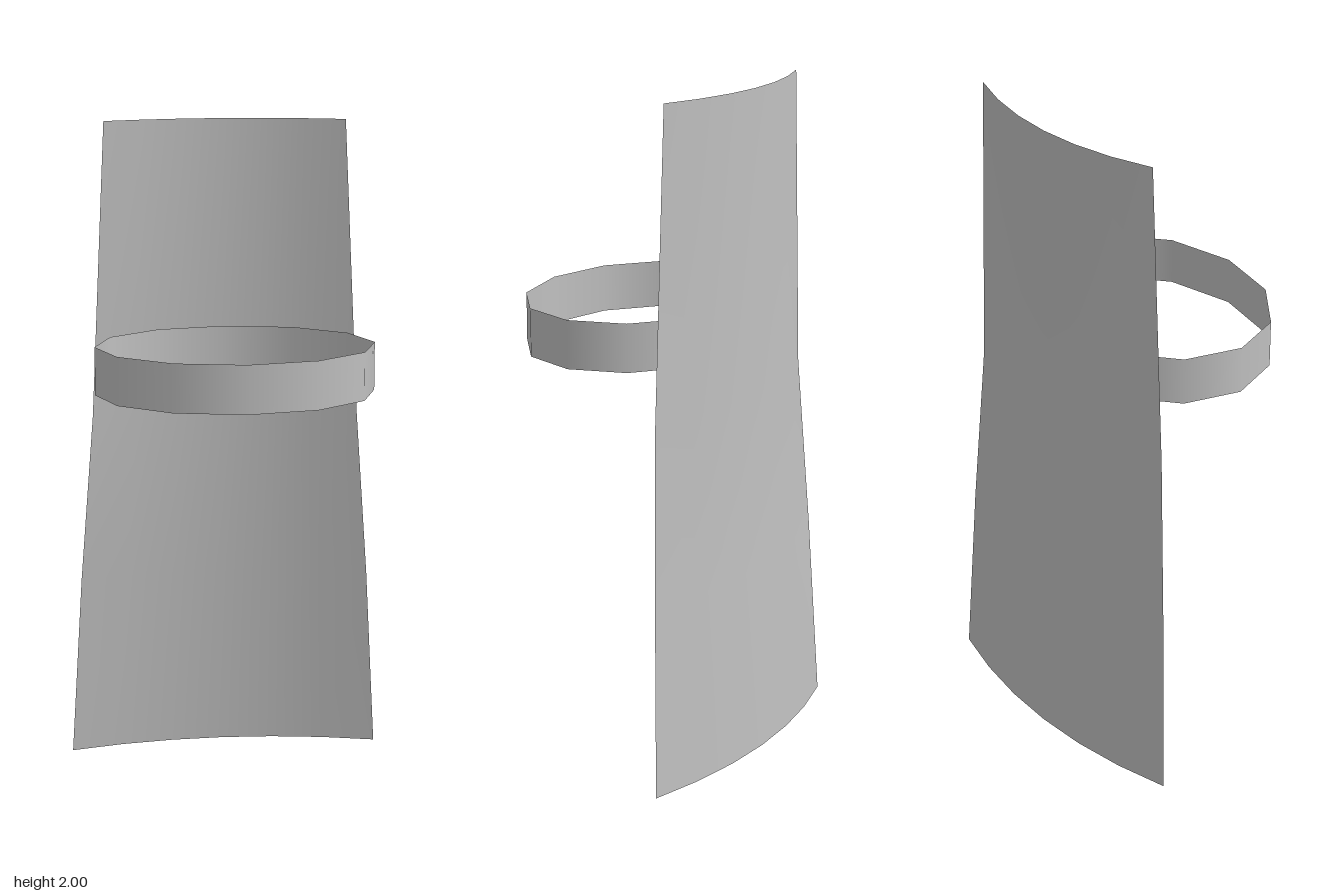
import * as THREE from 'three';

const grey = new THREE.MeshStandardMaterial({ color: 0xc0c0c0, side: THREE.DoubleSide });
grey.name = 'light grey';

// Rows of the panel from top to bottom: height, half width, z of the side edges
const ROWS = [
  [2, 0.367, -0.25],
  [1.1, 0.41, -0.25],
  [0.57, 0.451, -0.275],
  [0, 0.485, -0.3],
];
const SAG = 0.074; // how far the middle bows backwards

// Thin curved panel, widening and flaring back towards the foot
function makePanel() {
  const columns = 6;
  const geometry = new THREE.PlaneGeometry(2, 2, columns, ROWS.length - 1);
  const position = geometry.attributes.position;
  for (let i = 0; i < position.count; i++) {
    const [y, halfWidth, edgeZ] = ROWS[Math.floor(i / (columns + 1))];
    const u = position.getX(i);
    position.setXYZ(i, u * halfWidth, y, edgeZ - SAG * (1 - u * u));
  }
  geometry.computeVertexNormals();
  const panel = new THREE.Mesh(geometry, grey);
  panel.name = 'curvedPanel';
  return panel;
}

// Open twelve-sided oval band in front of the panel
function makeBand() {
  const geometry = new THREE.CylinderGeometry(1, 1, 0.144, 12, 1, true);
  geometry.scale(0.416, 1, 0.332);
  geometry.translate(0, 1.294, 0.042);
  const band = new THREE.Mesh(geometry, grey);
  band.name = 'strapBand';
  return band;
}

export function createModel() {
  const model = new THREE.Group();
  model.name = 'strappedPanel';
  model.add(makePanel(), makeBand());
  return model;
}
